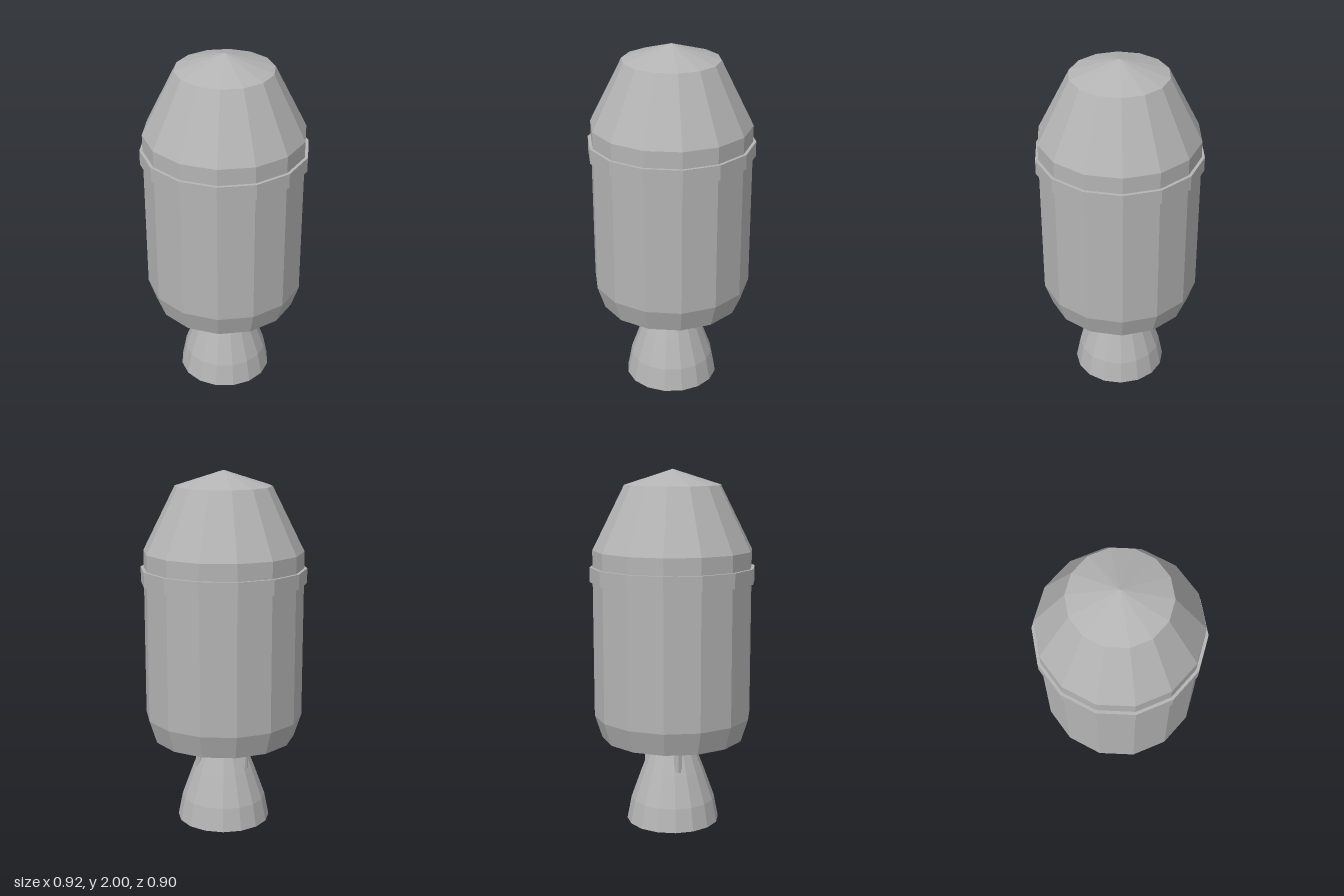
import * as THREE from 'three';

const SIDES = 14;
const NOZZLE_SIDES = 16;

// Faceted turned part; the first corner lies on +x
function turned(name, profile, sides, material) {
  const points = profile.map(([r, y]) => new THREE.Vector2(r, y));
  const mesh = new THREE.Mesh(new THREE.LatheGeometry(points, sides, Math.PI / 2), material);
  mesh.name = name;
  return mesh;
}

export function createModel() {
  const model = new THREE.Group();
  model.name = 'rocketStage';

  const grey = new THREE.MeshStandardMaterial({ color: 0xb4b4b4, flatShading: true, side: THREE.DoubleSide });
  grey.name = 'metalGrey';

  // Tank with a shallow recessed base, tapered shoulders and a low cone on top
  model.add(turned('tank', [
    [0, 0.535], [0.403, 0.495], [0.445, 0.625], [0.445, 1.56], [0.267, 1.915], [0, 2],
  ], SIDES, grey));

  // Raised belt around the upper tank
  model.add(turned('belt', [
    [0.44, 1.385], [0.462, 1.385], [0.462, 1.468], [0.44, 1.468],
  ], SIDES, grey));

  // Open engine bell
  model.add(turned('engineBell', [
    [0.264, 0], [0.239, 0.13], [0.178, 0.30], [0.1, 0.5], [0.085, 0.53],
  ], NOZZLE_SIDES, grey));

  // Three struts between the base and the bell
  const strutGeometry = new THREE.CylinderGeometry(0.022, 0.022, 0.2, 8);
  for (let i = 0; i < 3; i++) {
    const angle = (i * Math.PI * 2) / 3;
    const strut = new THREE.Mesh(strutGeometry, grey);
    strut.name = 'strut' + (i + 1);
    strut.position.set(0.15 * Math.cos(angle), 0.42, 0.15 * Math.sin(angle));
    strut.rotation.y = -angle;
    model.add(strut);
  }

  return model;
}
